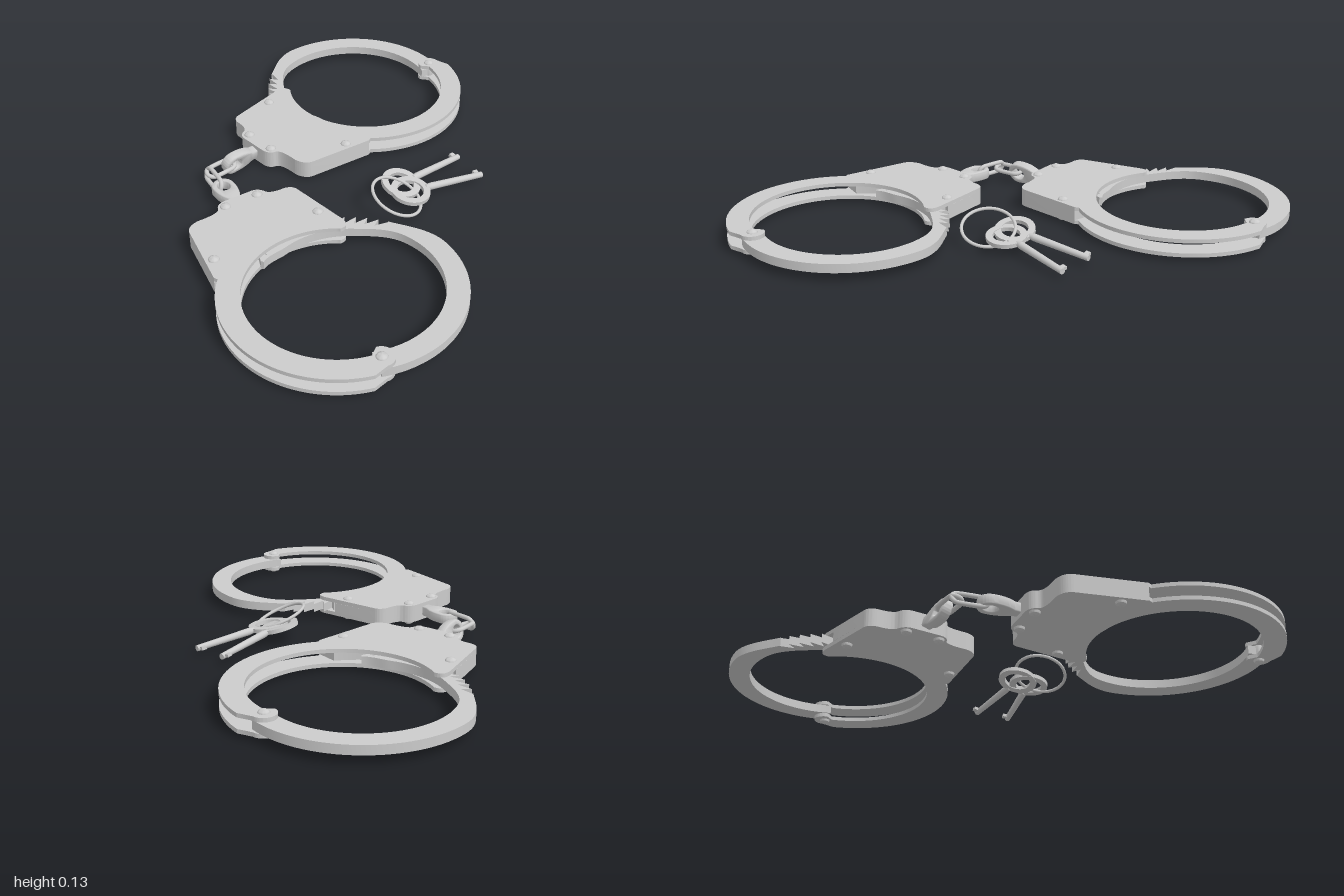
import * as THREE from 'three';
import { toCreasedNormals } from 'three/addons/utils/BufferGeometryUtils.js';

const steel = new THREE.MeshStandardMaterial({ color: 0xcccccc });
const rad = THREE.MathUtils.degToRad;
const lerp = THREE.MathUtils.lerp, smooth = THREE.MathUtils.smoothstep;

function add(parent, name, geometry) {
  const mesh = new THREE.Mesh(geometry, steel);
  mesh.name = name;
  parent.add(mesh);
  return mesh;
}

// Extrudes a plan outline drawn in (x, z) between heights y0 and y1
function slab(shape, y0, y1) {
  const g = new THREE.ExtrudeGeometry(shape, { depth: y1 - y0, bevelEnabled: false, curveSegments: 48 });
  g.rotateX(Math.PI / 2).translate(0, y1, 0);
  return toCreasedNormals(g, 0.4);
}

// Ring centres in plan: fixed cheek plates, swinging jaw, hinge pin
const CHEEK = [0.553, -0.463], JAW = [0.537, -0.532], HINGE = [0.931, -0.4];
const RIVETS = [[0.11, -0.66], [-0.13, -0.51], [-0.13, -0.36], [0.14, -0.16], HINGE];

// Lock housing outline, from its inner top corner round to the ring
function housingOutline(s) {
  s.lineTo(-0.067, -0.671);
  s.quadraticCurveTo(-0.1, -0.665, -0.105, -0.628);
  s.quadraticCurveTo(-0.105, -0.56, -0.13, -0.55);
  s.quadraticCurveTo(-0.168, -0.535, -0.166, -0.495);
  s.lineTo(-0.166, -0.375);
  s.quadraticCurveTo(-0.165, -0.335, -0.13, -0.325);
  s.quadraticCurveTo(-0.105, -0.315, -0.108, -0.22);
  s.quadraticCurveTo(-0.1, -0.165, -0.06, -0.157);
  s.lineTo(0.235, -0.108);
}

function cheekShape() {
  const s = new THREE.Shape();
  s.moveTo(0.256, -0.675);
  s.quadraticCurveTo(0.26, -0.725, 0.2, -0.716);
  housingOutline(s);
  s.absarc(...CHEEK, 0.46, rad(131), rad(17), true);
  s.absarc(...HINGE, 0.05, rad(10), rad(-170), true);
  s.absarc(...CHEEK, 0.366, rad(14), rad(215), false);
  return s;
}

function coreShape() {
  const s = new THREE.Shape();
  s.moveTo(0.147, -0.708);
  housingOutline(s);
  s.absarc(...JAW, 0.43, rad(130), rad(204), false);
  return s;
}

// Jaw: smooth bow, then ratchet teeth running into the housing
function jawShape() {
  const pts = [];
  const polar = (deg, r) => pts.push(new THREE.Vector2(
    JAW[0] + r * Math.cos(rad(deg)), JAW[1] + r * Math.sin(rad(deg))));
  for (let d = 20; d >= -124; d -= 3) polar(d, lerp(0.458, 0.415, smooth(-d, 90, 124)));
  for (let i = 0; i < 14; i++) {
    const d = -124 - i * 6.5;
    polar(d, 0.372);
    polar(d + 0.8, 0.415);
  }
  polar(-215, 0.375);
  for (let d = -215; d <= 22; d += 3)
    polar(d, lerp(0.368, 0.337, smooth(-d, 108, 145)) + 0.025 * smooth(-d, 195, 215));
  return new THREE.Shape(pts);
}

// Swivel eye pointing along -x from the housing, rolled about its own axis
function swivel(parent, roll) {
  const s = new THREE.Shape();
  s.moveTo(-0.15, 0.022);
  s.lineTo(-0.19, 0.026);
  s.quadraticCurveTo(-0.23, 0.052, -0.285, 0.05);
  s.absarc(-0.29, 0, 0.05, rad(95), rad(265), false);
  s.quadraticCurveTo(-0.23, -0.052, -0.19, -0.026);
  s.lineTo(-0.15, -0.022);
  const hole = new THREE.Path();
  hole.absellipse(-0.285, 0, 0.032, 0.026, 0, Math.PI * 2, true);
  s.holes.push(hole);
  const g = new THREE.ExtrudeGeometry(s, {
    depth: 0.024, bevelThickness: 0.01, bevelSize: 0.006, bevelOffset: -0.006, bevelSegments: 3, curveSegments: 20 });
  g.translate(0, 0, -0.012);
  const mesh = add(parent, 'swivelEye', toCreasedNormals(g, 0.7));
  mesh.position.set(0, 0.057, -0.435);
  mesh.rotation.x = roll;
}

// One cuff, its origin midway between the two rivets beside the swivel
function cuff(name, roll) {
  const group = new THREE.Group(), inner = new THREE.Group();
  group.name = name;
  inner.position.set(0.13, 0, 0.435);
  group.add(inner);
  add(inner, 'upperCheekPlate', slab(cheekShape(), 0.079, 0.096));
  add(inner, 'lowerCheekPlate', slab(cheekShape(), 0.018, 0.035));
  add(inner, 'lockHousing', slab(coreShape(), 0.035, 0.079));
  add(inner, 'ratchetJaw', slab(jawShape(), 0.038, 0.076));
  const profile = [[0, 0], [0.012, 0.002], [0.02, 0.008], [0.023, 0.018],
    [0.023, 0.096], [0.02, 0.102], [0.012, 0.107], [0, 0.109]].map(p => new THREE.Vector2(...p));
  for (const [x, z] of RIVETS)
    add(inner, 'rivet', toCreasedNormals(new THREE.LatheGeometry(profile, 20), 0.6)).position.set(x, 0, z);
  swivel(inner, roll);
  return group;
}

// Stadium-shaped chain link lying flat along x
function chainLink(parent, half, width) {
  const path = new THREE.CurvePath();
  const pts = [];
  for (let i = 0; i < 24; i++) {
    const a = (i + 0.5) / 24 * Math.PI * 2;
    pts.push(new THREE.Vector3(
      Math.sign(Math.cos(a)) * (half - width) + width * Math.cos(a), 0, width * Math.sin(a)));
  }
  const curve = new THREE.CatmullRomCurve3(pts, true);
  return add(parent, 'chainLink', new THREE.TubeGeometry(curve, 64, 0.01, 10, true));
}

// Key: flat ring bow, round shaft along +x, small bit at the tip
function key(length) {
  const group = new THREE.Group();
  group.name = 'key';
  const bow = new THREE.Shape().absarc(0, 0, 0.086, 0, Math.PI * 2);
  bow.holes.push(new THREE.Path().absarc(0, 0, 0.057, 0, Math.PI * 2, true));
  add(group, 'keyBow', slab(bow, -0.009, 0.009));
  const tube = (name, r0, r1, x0, x1) => {
    const g = new THREE.CylinderGeometry(r1, r0, x1 - x0, 16);
    g.rotateZ(-Math.PI / 2).translate((x0 + x1) / 2, 0, 0);
    add(group, name, g);
  };
  tube('keyCollar', 0.012, 0.016, 0.075, 0.1);
  tube('keyShaft', 0.016, 0.013, 0.1, length);
  add(group, 'keyBit', new THREE.BoxGeometry(0.022, 0.014, 0.03)).position.set(length - 0.02, 0, -0.014);
  return group;
}

export function createModel() {
  const model = new THREE.Group();

  const rearCuff = cuff('rearCuff', 0.25);
  rearCuff.position.set(-0.13, 0, -0.435);
  const frontCuff = cuff('frontCuff', Math.PI / 2);
  frontCuff.position.set(-0.465, 0, -0.15);
  frontCuff.rotation.y = rad(-99.15);
  model.add(rearCuff, frontCuff);

  // Two chain links joining the swivels
  const linkA = chainLink(model, 0.07, 0.027);
  linkA.position.set(-0.355, 0.057, -0.437);
  linkA.rotation.x = 0.3;
  const linkB = chainLink(model, 0.073, 0.027);
  linkB.position.set(-0.428, 0.057, -0.39);
  linkB.rotation.set(1.2, rad(-103), 0, 'YXZ');

  // Keys on a tilted wire ring
  const keyA = key(0.365);
  keyA.position.set(0.136, 0.066, 0.192);
  keyA.rotation.set(0.25, -0.03, -0.09, 'YXZ');
  const keyB = key(0.36);
  keyB.position.set(0.136, 0.058, 0.25);
  keyB.rotation.set(0.12, -0.3, -0.08, 'YXZ');
  model.add(keyA, keyB);
  const ring = add(model, 'keyRing', new THREE.TorusGeometry(0.112, 0.007, 10, 56));
  ring.position.set(0.047, 0.078, 0.255);
  ring.quaternion.setFromUnitVectors(new THREE.Vector3(0, 0, 1), new THREE.Vector3(0.25, 1, 0.35).normalize());
  return model;
}
